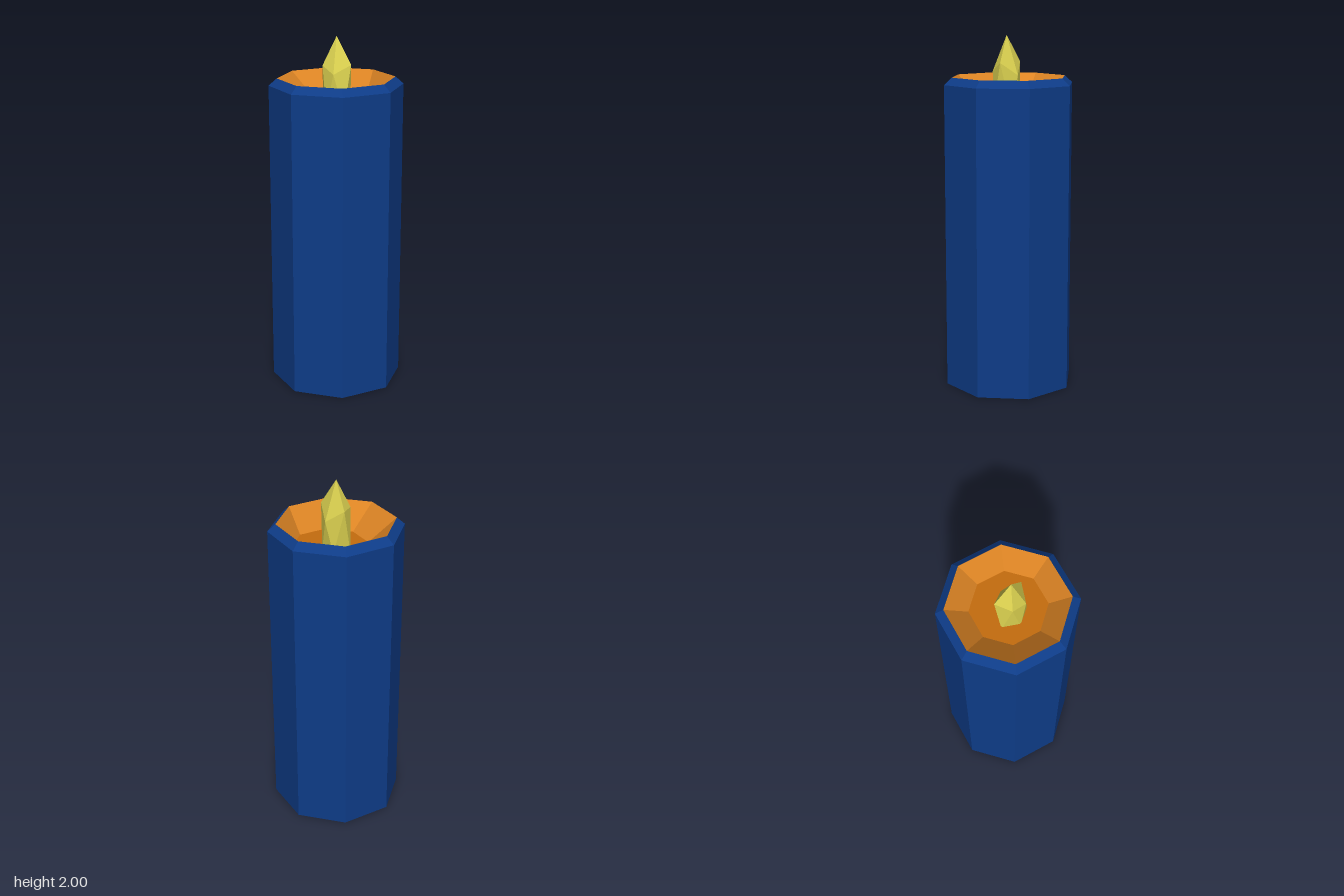
import * as THREE from 'three';

const SIDES = 8;
const RIM_Y = 1.77, FLOOR_Y = 1.63;
const RIM_R = 0.33, FLOOR_R = 0.21;
const WELL_X = 0.02, WELL_Z = 0.028; // the hollow sits slightly off centre

function material(name, color) {
  const m = new THREE.MeshStandardMaterial({ color, flatShading: true });
  m.name = name;
  return m;
}

function facetedMesh(name, geometry, mat) {
  const g = geometry.index ? geometry.toNonIndexed() : geometry;
  g.computeVertexNormals();
  const mesh = new THREE.Mesh(g, mat);
  mesh.name = name;
  return mesh;
}

function lathe(points) {
  return new THREE.LatheGeometry(points.map(([r, y]) => new THREE.Vector2(r, y)), SIDES);
}

// Pointed flame: tip, five-sided upper ring, twisted lower ring buried in the wax
function flameGeometry() {
  const tip = [-0.01, 2.0, 0.01];
  const upper = [
    [0.0, 1.85, 0.105], [0.068, 1.78, 0.025], [0.03, 1.85, -0.075],
    [-0.065, 1.84, -0.045], [-0.08, 1.8, 0.045],
  ];
  const centre = [-0.01, 0.011];
  // each lower corner lies opposite an upper one, so it falls between two others
  const lower = upper.map((_, i) => {
    const p = upper[(i + 3) % 5];
    return [centre[0] - (p[0] - centre[0]) * 0.96, 1.6, centre[1] - (p[2] - centre[1]) * 0.96];
  });
  const bottom = [centre[0], 1.5, centre[1]];
  const corners = [];
  for (let i = 0; i < 5; i++) {
    const j = (i + 1) % 5;
    corners.push(tip, upper[i], upper[j]);
    corners.push(upper[i], lower[i], upper[j]);
    corners.push(upper[j], lower[i], lower[j]);
    corners.push(lower[i], bottom, lower[j]);
  }
  const g = new THREE.BufferGeometry();
  g.setAttribute('position', new THREE.Float32BufferAttribute(corners.flat(), 3));
  return g;
}

export function createModel() {
  const blue = material('blue wax', 0x0e3c88);
  const orange = material('orange wax', 0xde8524);
  const deepOrange = material('deep orange wax', 0xc46c0e);
  const yellow = material('flame yellow', 0xdcd250);

  const model = new THREE.Group();
  model.name = 'candle';

  // Eight-sided body with a bevelled rim and closed base
  model.add(facetedMesh('candleBody',
    lathe([[0, 0], [0.375, 0], [0.375, 1.73], [RIM_R, RIM_Y]]), blue));

  // Sloping wall of the hollow, its lower ring shifted off centre
  const wall = lathe([[RIM_R, RIM_Y], [FLOOR_R, FLOOR_Y]]);
  const pos = wall.attributes.position;
  for (let i = 0; i < pos.count; i++) {
    if (pos.getY(i) < RIM_Y - 0.01) {
      pos.setX(i, pos.getX(i) + WELL_X);
      pos.setZ(i, pos.getZ(i) + WELL_Z);
    }
  }
  model.add(facetedMesh('hollowWall', wall, orange));

  // Flat floor of the hollow
  const floor = new THREE.CircleGeometry(FLOOR_R, SIDES)
    .rotateX(-Math.PI / 2).translate(WELL_X, FLOOR_Y, WELL_Z);
  model.add(facetedMesh('hollowFloor', floor, deepOrange));

  model.add(facetedMesh('flame', flameGeometry(), yellow));
  return model;
}
